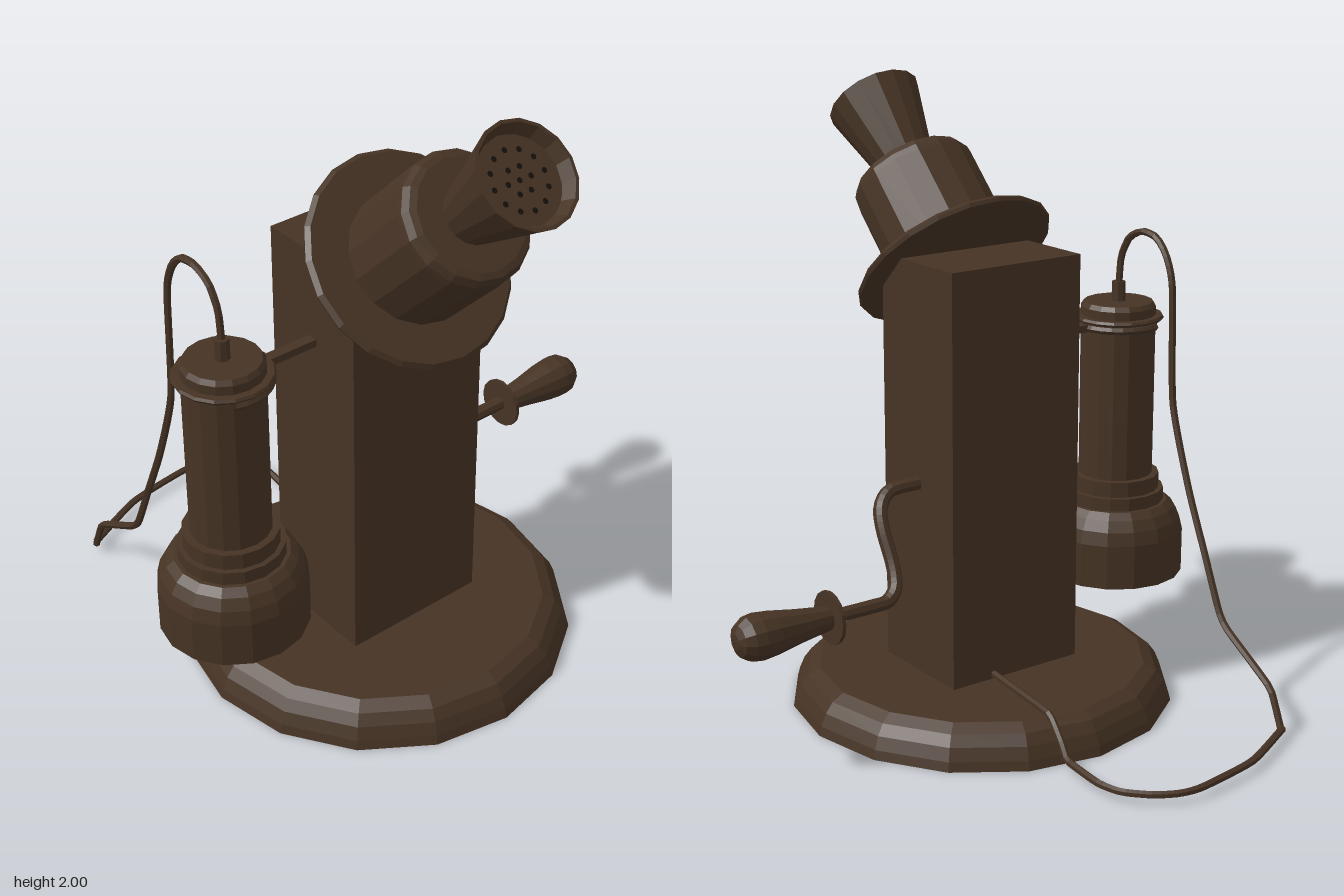
import * as THREE from 'three';

export function createModel() {
  const root = new THREE.Group();
  root.name = 'deskTelephone';
  const mat = new THREE.MeshStandardMaterial({ color: 0x463324, flatShading: true });
  const holeMat = new THREE.MeshStandardMaterial({ color: 0x15100b });

  const add = (name, geometry, parent = root, material = mat) => {
    const mesh = new THREE.Mesh(geometry, material);
    mesh.name = name;
    parent.add(mesh);
    return mesh;
  };
  const group = (name, x, y, z) => {
    const g = new THREE.Group();
    g.name = name;
    g.position.set(x, y, z);
    root.add(g);
    return g;
  };
  // Profiles run from the lower axis, up the outside, to the upper axis
  const lathe = (profile, sides = 16) =>
    new THREE.LatheGeometry(profile.map(([r, y]) => new THREE.Vector2(r, y)), sides);
  const tube = (points, radius, steps, tension, sides = 8) => new THREE.TubeGeometry(
    new THREE.CatmullRomCurve3(points.map(p => new THREE.Vector3(...p)), false, 'catmullrom', tension),
    steps, radius, sides);

  // Round base with a curved shoulder
  add('base', lathe([[0, 0], [0.63, 0], [0.622, 0.03], [0.605, 0.07], [0.58, 0.103],
    [0.54, 0.125], [0, 0.125]])).position.set(-0.105, 0, 0.155);

  // Square post, its front top corner cut back behind the plate
  const side = new THREE.Shape([[-0.035, 0.12], [0.345, 0.12], [0.345, 1.385], [0.255, 1.475], [-0.035, 1.475]]
    .map(p => new THREE.Vector2(...p)));
  const post = new THREE.ExtrudeGeometry(side, { depth: 0.49, bevelEnabled: false });
  post.rotateY(-Math.PI / 2).translate(0.14, 0, 0);
  add('post', post);

  // Speaking head, tilted up by 45 degrees
  const head = group('mouthpieceHead', -0.105, 1.43, 0.3);
  head.rotation.x = Math.PI / 4;
  add('headPlate', lathe([[0, -0.012], [0.33, -0.012], [0.335, 0], [0.322, 0.014], [0, 0.014]], 20), head);
  add('headCup', lathe([[0, 0], [0.205, 0], [0.205, 0.31], [0.203, 0.33], [0.19, 0.352],
    [0.17, 0.358], [0, 0.358]]), head);
  add('horn', lathe([[0.088, 0.35], [0.158, 0.65], [0.148, 0.65], [0.128, 0.605]]), head);

  // Perforated disc set inside the horn
  const disc = new THREE.Shape().absarc(0, 0, 0.132, 0, Math.PI * 2);
  for (const [count, ring] of [[1, 0], [6, 0.04], [12, 0.088]]) {
    for (let i = 0; i < count; i++) {
      const a = i / count * Math.PI * 2;
      disc.holes.push(new THREE.Path().absarc(Math.cos(a) * ring, Math.sin(a) * ring, 0.0085, 0, Math.PI * 2, true));
    }
  }
  add('perforatedDisc', new THREE.ShapeGeometry(disc, 6).rotateX(-Math.PI / 2).translate(0, 0.61, 0), head);
  add('discBacking', new THREE.CircleGeometry(0.125, 16).rotateX(-Math.PI / 2).translate(0, 0.602, 0), head, holeMat);

  // Hanging receiver
  const receiver = group('receiver', -0.668, 0, 0.155);
  add('receiverBody', lathe([[0, 0.36], [0.19, 0.33], [0.215, 0.31], [0.233, 0.31], [0.233, 0.46],
    [0.222, 0.505], [0.202, 0.54], [0.178, 0.562], [0.165, 0.562], [0.165, 0.605], [0.148, 0.605],
    [0.148, 0.657], [0.125, 0.657], [0.125, 1.235], [0.115, 1.25], [0, 1.25]]), receiver);
  add('receiverFlange', lathe([[0.12, 1.19], [0.147, 1.19], [0.152, 1.198], [0.147, 1.206], [0.12, 1.206]]), receiver);
  add('cordSleeve', lathe([[0.024, 1.24], [0.022, 1.315], [0, 1.315]], 8), receiver);

  // Forked hook holding the receiver under its flange
  const hook = group('hook', -0.668, 1.176, 0.155);
  const span = Math.PI * 1.25;
  add('hookFork', new THREE.TorusGeometry(0.137, 0.013, 6, 16, span)
    .rotateZ(-span / 2).rotateX(Math.PI / 2), hook);
  add('hookArm', new THREE.BoxGeometry(0.2, 0.024, 0.035), hook).position.x = 0.23;

  // Side crank with its handle
  add('crankArm', tube([[0.12, 0.765, 0.16], [0.21, 0.765, 0.16], [0.255, 0.757, 0.157], [0.295, 0.72, 0.137],
    [0.308, 0.66, 0.105], [0.308, 0.56, 0.052], [0.322, 0.5, 0.018], [0.36, 0.468, 0.002],
    [0.41, 0.465, 0], [0.58, 0.465, 0]], 0.023, 36, 0.5));
  const handle = group('crankHandle', 0.57, 0.465, 0);
  handle.rotation.z = -Math.PI / 2;
  add('handleFlange', new THREE.CylinderGeometry(0.084, 0.084, 0.012, 16), handle);
  add('handleGrip', lathe([[0, 0.005], [0.037, 0.005], [0.052, 0.11], [0.068, 0.2], [0.073, 0.25],
    [0.068, 0.285], [0.05, 0.312], [0.025, 0.324], [0, 0.326]], 12), handle);

  // Cord from the receiver down to the floor
  add('hangingCord', tube([[-0.668, 1.3, 0.155], [-0.668, 1.4, 0.145], [-0.668, 1.47, 0.105], [-0.668, 1.5, 0.04],
    [-0.667, 1.49, -0.03], [-0.666, 1.44, -0.08], [-0.665, 1.34, -0.115], [-0.663, 0.965, -0.135],
    [-0.66, 0.7, -0.225], [-0.657, 0.48, -0.325], [-0.655, 0.325, -0.395], [-0.653, 0.275, -0.44],
    [-0.649, 0.18, -0.6], [-0.648, 0.14, -0.655], [-0.647, 0.03, -0.705]], 0.012, 70, 0.3, 6));
  // Cord along the floor and over the base to the back of the post
  add('floorCord', tube([[-0.647, 0.032, -0.712], [-0.415, 0.032, -0.82], [-0.18, 0.032, -0.857], [-0.1, 0.032, -0.848],
    [-0.03, 0.032, -0.81], [0.035, 0.032, -0.74], [0.055, 0.032, -0.66], [0.045, 0.032, -0.54],
    [0.037, 0.034, -0.485], [0.032, 0.07, -0.455], [0.025, 0.13, -0.395], [0.02, 0.14, -0.36],
    [-0.02, 0.14, -0.02]], 0.012, 60, 0.3, 6));

  return root;
}
